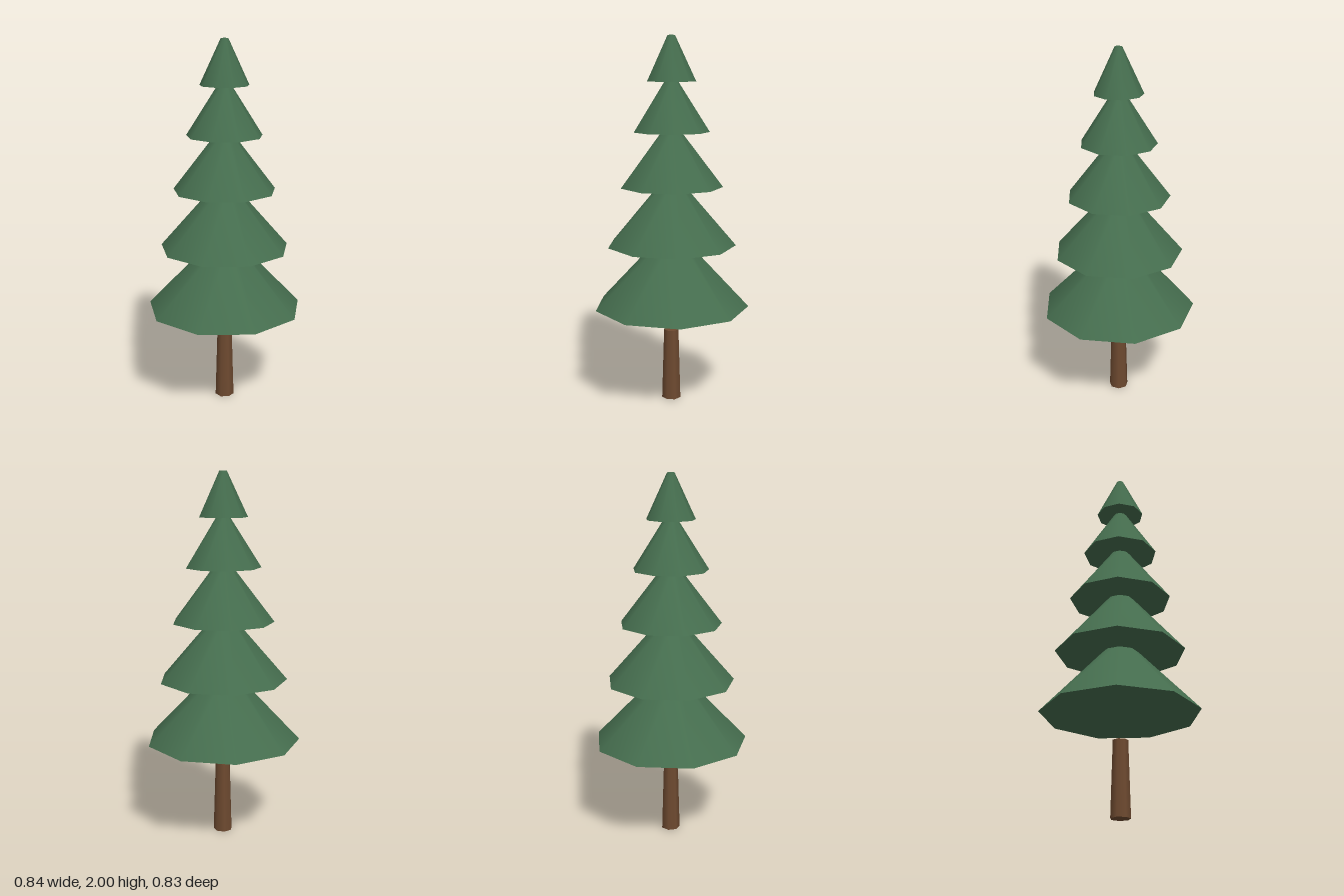
import * as THREE from 'three';

export function createModel() {
  const tree = new THREE.Group();
  tree.name = 'pineTree';
  const bark = new THREE.MeshStandardMaterial({ color: 0x6e4a30 });
  const needles = new THREE.MeshStandardMaterial({ color: 0x456d4e });
  const axisZ = 0.013; // odd-sided rings: the axis sits slightly forward of centre

  // Tapered, capped ring with one corner pointing to the back
  function addTaper(name, rTop, rBottom, height, sides, bottom, material) {
    const geometry = new THREE.CylinderGeometry(rTop, rBottom, height, sides);
    geometry.rotateY(Math.PI);
    const mesh = new THREE.Mesh(geometry, material);
    mesh.name = name;
    mesh.position.set(0, bottom + height / 2, axisZ);
    tree.add(mesh);
  }

  addTaper('trunk', 0.041, 0.053, 0.4, 7, 0, bark);

  // Foliage tiers, shrinking upward; each tip tucks into the tier above
  const tierBottoms = [0.54, 0.884, 1.204, 1.498, 1.762];
  tierBottoms.forEach((bottom, i) => {
    const radius = 0.426 - 0.0735 * i;
    const height = 0.383 - 0.03625 * i;
    addTaper(`foliageTier${i + 1}`, radius * 0.15, radius, height, 9, bottom, needles);
  });

  return tree;
}
